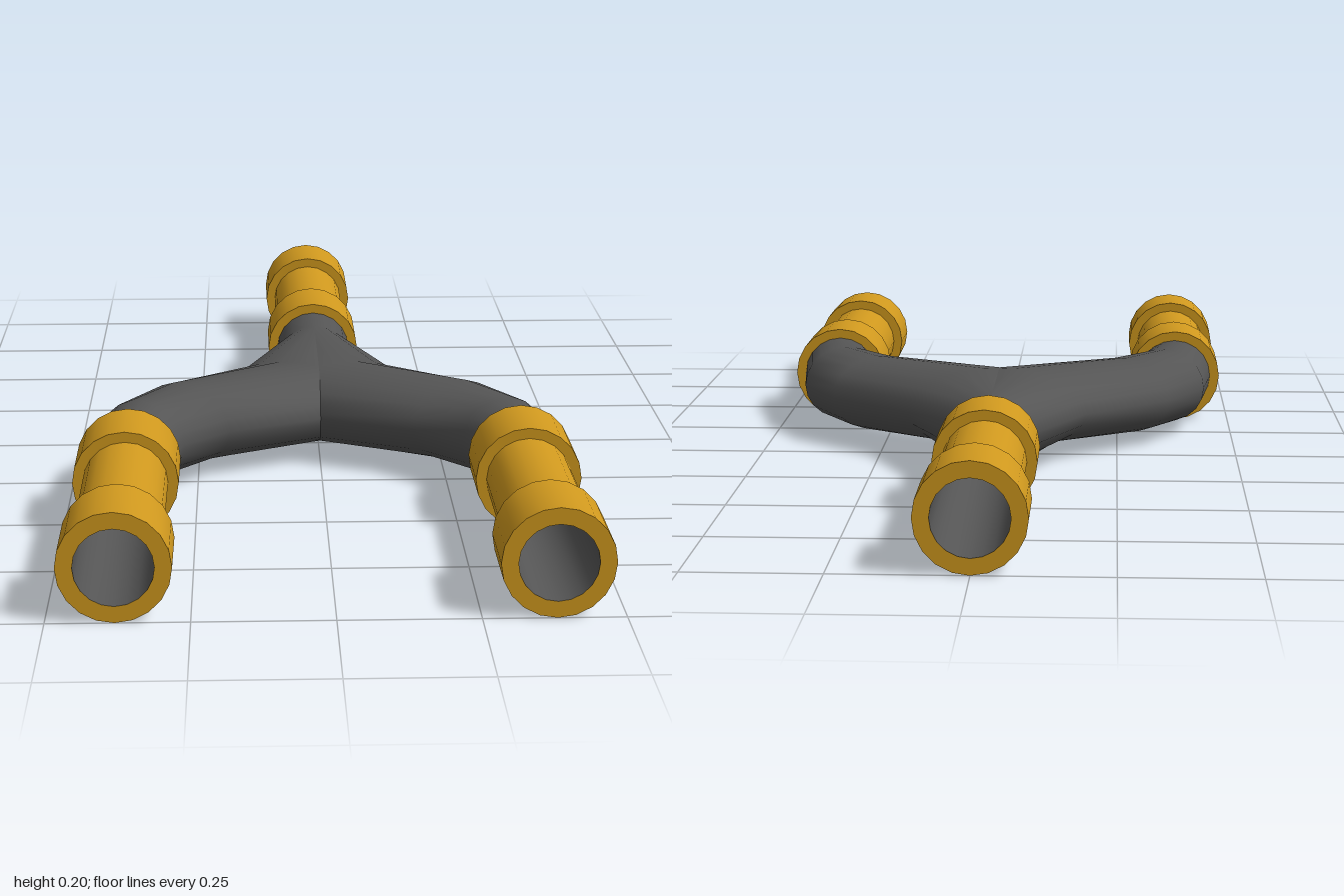
import * as THREE from 'three';
import { toCreasedNormals } from 'three/addons/utils/BufferGeometryUtils.js';

const SIDES = 20, AXIS_Y = 0.1, PIPE_R = 0.08, BORE_R = 0.07;

const brass = new THREE.MeshStandardMaterial({ color: 0xcf981e });
const dark = new THREE.MeshStandardMaterial({ color: 0x555555 });

// Lathe around the y axis from [radius, height] pairs, with sharp steps
function turned(pairs, material, name) {
  const points = pairs.map(([r, h]) => new THREE.Vector2(r, h));
  const geometry = toCreasedNormals(new THREE.LatheGeometry(points, SIDES), 0.7);
  const mesh = new THREE.Mesh(geometry, material);
  mesh.name = name;
  return mesh;
}

// Brass sleeve with a collar at each end and a dark bore
function createFitting(name) {
  const fitting = new THREE.Group();
  fitting.name = name;
  fitting.add(
    turned([[BORE_R, 0], [0.1, 0], [0.1, 0.15], [PIPE_R, 0.15], [PIPE_R, 0.45],
      [0.1, 0.45], [0.1, 0.6], [BORE_R, 0.6]], brass, 'sleeve'),
    turned([[BORE_R, 0.6], [BORE_R, 0], [0, 0]], dark, 'bore'),
  );
  return fitting;
}

// Each ring: outer x, z and inner x, z of an elliptical section, stem to arm end
const RINGS = [
  [0.08, -0.285, -0.08, -0.285],
  [0.185, -0.07, -0.12, 0.103],
  [0.36, 0.09, 0.185, 0.235],
  [0.44, 0.24, 0.275, 0.32],
  [0.46, 0.405, 0.3, 0.405],
];

// Curved arm; the two arms overlap in the middle to form the fork
function createArm(side, name) {
  const positions = [], index = [];
  RINGS.forEach(([ox, oz, ix, iz], i) => {
    for (let j = 0; j < SIDES; j++) {
      const t = (j / SIDES) * Math.PI * 2, k = (1 + Math.cos(t)) / 2;
      positions.push(side * (ix + (ox - ix) * k), AXIS_Y + PIPE_R * Math.sin(t), iz + (oz - iz) * k);
      if (i === RINGS.length - 1) continue;
      const a = i * SIDES + j, b = i * SIDES + (j + 1) % SIDES;
      const c = a + SIDES, d = b + SIDES;
      if (side > 0) index.push(a, b, c, b, d, c);
      else index.push(a, c, b, b, c, d);
    }
  });
  const geometry = new THREE.BufferGeometry();
  geometry.setAttribute('position', new THREE.Float32BufferAttribute(positions, 3));
  geometry.setIndex(index);
  geometry.computeVertexNormals();
  const mesh = new THREE.Mesh(geometry, dark);
  mesh.name = name;
  return mesh;
}

export function createModel() {
  const model = new THREE.Group();
  model.name = 'pipeFork';

  // Forked body
  const body = new THREE.Group();
  body.name = 'forkBody';
  const stem = new THREE.Mesh(
    new THREE.CylinderGeometry(PIPE_R, PIPE_R, 0.12, SIDES, 1, true).rotateX(Math.PI / 2), dark);
  stem.name = 'stem';
  stem.position.set(0, AXIS_Y, -0.345);
  body.add(stem, createArm(1, 'leftArm'), createArm(-1, 'rightArm'));
  model.add(body);

  // Three end fittings
  for (const [name, x, dir] of [['leftFitting', 0.38, 1], ['rightFitting', -0.38, 1], ['backFitting', 0, -1]]) {
    const fitting = createFitting(name);
    fitting.rotation.x = dir * Math.PI / 2;
    fitting.position.set(x, AXIS_Y, dir * 0.4);
    model.add(fitting);
  }
  return model;
}
